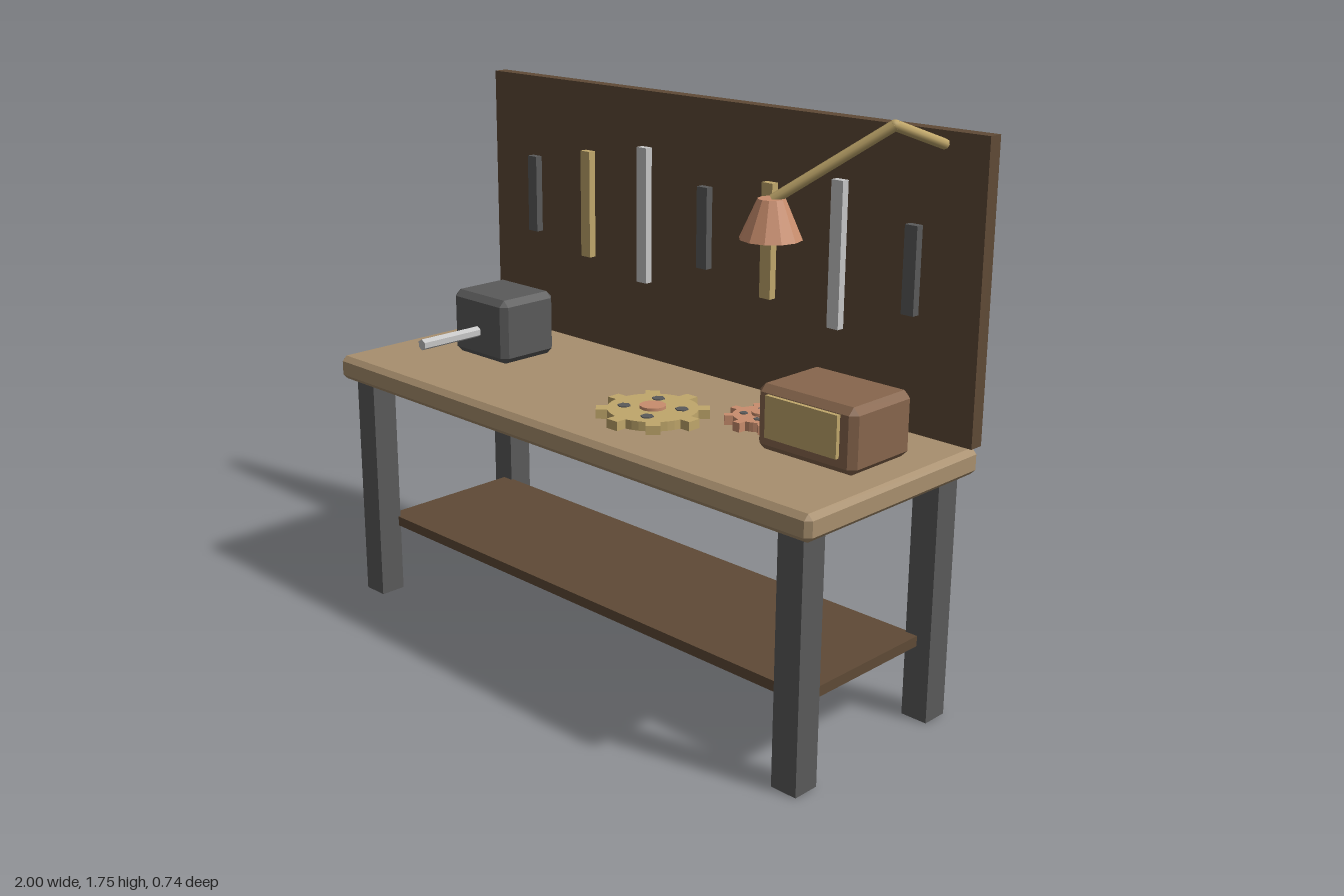
import * as THREE from 'three';
import { ConvexGeometry } from 'three/addons/geometries/ConvexGeometry.js';

const mat = (name, color) => {
  const m = new THREE.MeshStandardMaterial({ color });
  m.name = name;
  return m;
};

export function createModel() {
  const oak = mat('light wood', 0xa88f6e);
  const walnut = mat('dark wood', 0x5f4a36);
  const cabinetWood = mat('cabinet wood', 0x87664d);
  const iron = mat('dark iron', 0x5a5a5a);
  const steel = mat('bright steel', 0xc6c6c6);
  const brass = mat('brass', 0xc0a76b);
  const copper = mat('copper', 0xc88d6d);

  const model = new THREE.Group();
  model.name = 'workbench';

  const add = (name, geometry, material, x = 0, y = 0, z = 0, parent = model) => {
    const mesh = new THREE.Mesh(geometry, material);
    mesh.name = name;
    mesh.position.set(x, y, z);
    parent.add(mesh);
    return mesh;
  };

  const flat = (geometry) => {
    const g = geometry.toNonIndexed();
    g.computeVertexNormals();
    return g;
  };

  // Box with every edge cut at 45 degrees
  const chamferBox = (w, h, d, c) => {
    const points = [];
    for (const sx of [-1, 1]) for (const sy of [-1, 1]) for (const sz of [-1, 1]) {
      for (let axis = 0; axis < 3; axis++) {
        const half = [w / 2 - c, h / 2 - c, d / 2 - c];
        half[axis] += c;
        points.push(new THREE.Vector3(sx * half[0], sy * half[1], sz * half[2]));
      }
    }
    return new ConvexGeometry(points);
  };

  // Bench: top, legs, lower shelf and tool board
  add('tableTop', chamferBox(2, 0.078, 0.738, 0.016), oak, 0, 0.787, 0.003);
  for (const sx of [-1, 1]) for (const sz of [-1, 1]) {
    add('leg', new THREE.BoxGeometry(0.086, 0.75, 0.086), iron, sx * 0.913, 0.375, sz * 0.29 + 0.003);
  }
  add('lowerShelf', new THREE.BoxGeometry(1.82, 0.032, 0.51), walnut, 0, 0.246, 0.003);
  add('toolBoard', new THREE.BoxGeometry(2, 0.867, 0.046), walnut, 0, 1.263, -0.347);

  // Hanging tools, repeating short, medium, long
  const kinds = [[iron, 0.255], [brass, 0.35], [steel, 0.435]];
  for (let i = 0; i < 7; i++) {
    const [material, height] = kinds[i % 3];
    add('hangingTool', new THREE.BoxGeometry(0.042, height, 0.025), material, (i - 3) * 0.261, 1.305, -0.305);
  }

  // Vise with its handle
  add('viseBody', chamferBox(0.26, 0.21, 0.222, 0.02), iron, -0.652, 0.932, -0.044);
  const handle = add('viseHandle', flat(new THREE.CylinderGeometry(0.018, 0.018, 0.25, 6)), steel, -0.655, 0.917, 0.17);
  handle.rotation.x = Math.PI / 2;

  // Small cabinet with a front panel
  add('cabinet', chamferBox(0.344, 0.19, 0.258, 0.02), cabinetWood, 0.738, 0.922, -0.042);
  add('cabinetPanel', new THREE.BoxGeometry(0.25, 0.122, 0.02), brass, 0.737, 0.934, 0.09);

  // Gear lying flat: toothed disc, hub and four bolts
  const gear = (name, material, x, z, root, outer, toothWidth, boltRing, boltR, hubR) => {
    const group = new THREE.Group();
    group.name = name;
    group.position.set(x, 0.826, z);
    model.add(group);
    const shape = new THREE.Shape();
    const teeth = 8;
    const h = toothWidth / 2;
    const half = Math.asin(h / root);
    for (let i = 0; i < teeth; i++) {
      const a = (i / teeth) * Math.PI * 2;
      const put = (r, t, first) => {
        const px = r * Math.cos(a) - t * Math.sin(a);
        const py = r * Math.sin(a) + t * Math.cos(a);
        if (first) shape.moveTo(px, py);
        else shape.lineTo(px, py);
      };
      const base = Math.sqrt(root * root - h * h);
      put(base, -h, i === 0);
      put(outer, -h);
      put(outer, h);
      put(base, h);
      // Rim between this tooth and the next
      const gap = (Math.PI * 2) / teeth - 2 * half;
      for (const f of [1 / 3, 2 / 3]) {
        const b = a + half + gap * f;
        shape.lineTo(root * Math.cos(b), root * Math.sin(b));
      }
    }
    const disc = new THREE.ExtrudeGeometry(shape, { depth: 0.028, bevelEnabled: false });
    disc.rotateX(-Math.PI / 2);
    add('gearDisc', disc, material, 0, 0, 0, group);
    add('gearHub', new THREE.CylinderGeometry(hubR, hubR, 0.037, 12), copper, 0, 0.0185, 0, group);
    for (let i = 0; i < 4; i++) {
      const a = -0.59 + (i * Math.PI) / 2;
      add('gearBolt', flat(new THREE.CylinderGeometry(boltR, boltR, 0.031, 6)), iron,
        boltRing * Math.cos(a), 0.0155, boltRing * Math.sin(a), group);
    }
  };
  gear('largeGear', brass, 0.171, 0.088, 0.135, 0.167, 0.043, 0.086, 0.02, 0.04);
  gear('smallGear', copper, 0.433, -0.088, 0.08, 0.104, 0.026, 0.048, 0.0125, 0.025);

  // Lamp: two-part arm, shade and bulb
  const lamp = new THREE.Group();
  lamp.name = 'lamp';
  model.add(lamp);
  const joints = [[0.867, 1.662, -0.31], [0.867, 1.736, -0.086], [0.612, 1.532, 0.088]]
    .map((p) => new THREE.Vector3(...p));
  for (let i = 0; i < 2; i++) {
    const dir = joints[i + 1].clone().sub(joints[i]);
    const mid = joints[i].clone().add(joints[i + 1]).multiplyScalar(0.5);
    const arm = add('lampArm', new THREE.CylinderGeometry(0.015, 0.015, dir.length(), 8), brass, mid.x, mid.y, mid.z, lamp);
    arm.quaternion.setFromUnitVectors(new THREE.Vector3(0, 1, 0), dir.normalize());
  }
  add('lampElbow', new THREE.SphereGeometry(0.015, 8, 6), brass, ...joints[1].toArray(), lamp);
  add('lampShade', flat(new THREE.CylinderGeometry(0.038, 0.086, 0.108, 12)), copper, 0.61, 1.481, 0.09, lamp);
  add('lampBulb', new THREE.SphereGeometry(0.036, 10, 8), brass, 0.61, 1.444, 0.09, lamp);

  return model;
}
